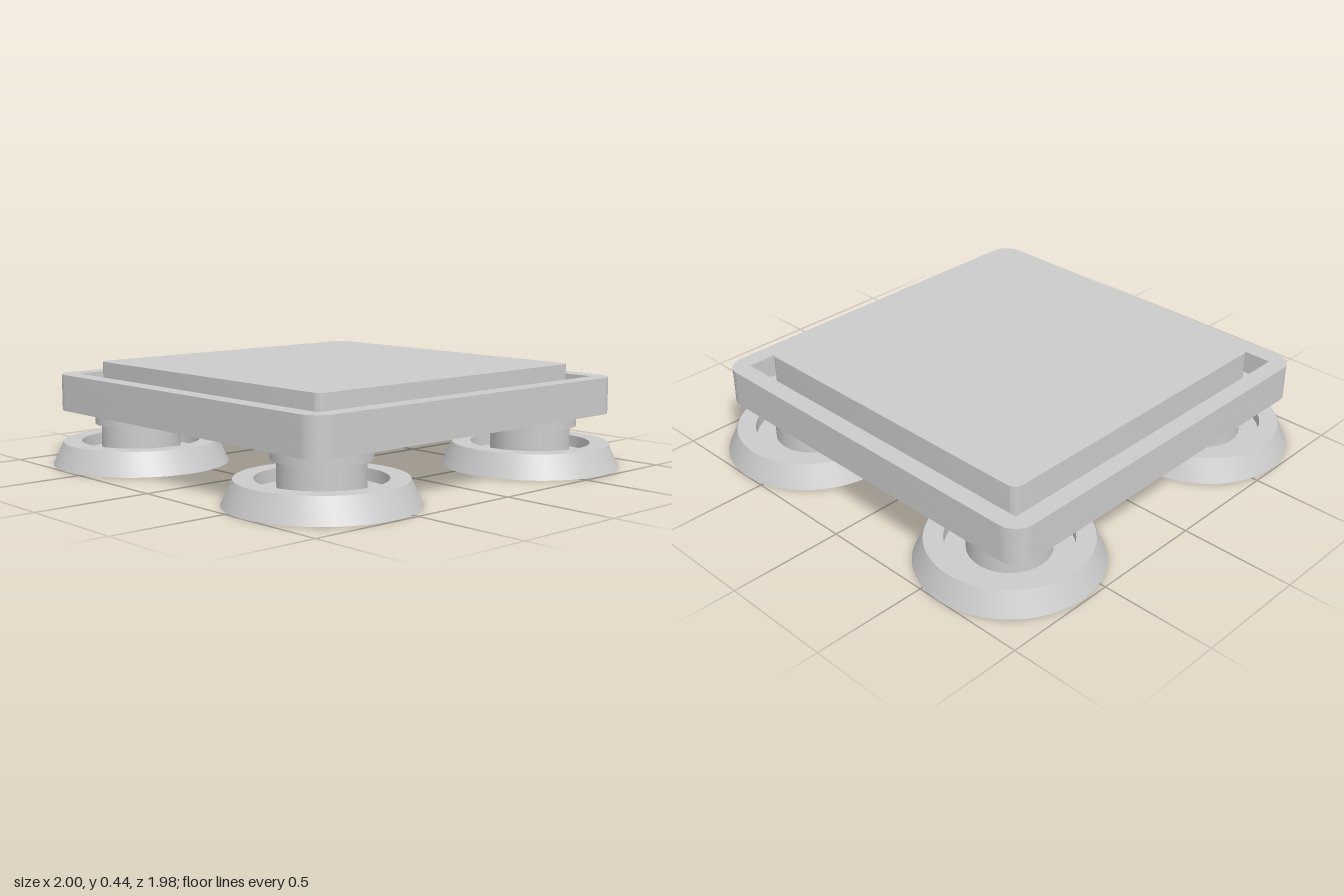
import * as THREE from 'three';
import { toCreasedNormals } from 'three/addons/utils/BufferGeometryUtils.js';

const material = new THREE.MeshStandardMaterial({ color: 0xcccccc });

function addMesh(parent, name, geometry) {
  const mesh = new THREE.Mesh(toCreasedNormals(geometry, 0.5), material);
  mesh.name = name;
  parent.add(mesh);
  return mesh;
}

// Square outline of half-width h with rounded corners of radius r
function roundedSquare(h, r) {
  const s = new THREE.Shape();
  const k = h - r;
  s.absarc(k, k, r, 0, Math.PI / 2);
  s.absarc(-k, k, r, Math.PI / 2, Math.PI);
  s.absarc(-k, -k, r, Math.PI, Math.PI * 1.5);
  s.absarc(k, -k, r, Math.PI * 1.5, Math.PI * 2);
  s.closePath();
  return s;
}

// Horizontal slab of a shape between two heights
function slab(shape, y0, y1) {
  const g = new THREE.ExtrudeGeometry(shape, { depth: y1 - y0, bevelEnabled: false, curveSegments: 8 });
  return g.rotateX(-Math.PI / 2).translate(0, y0, 0);
}

function lathe(points) {
  return new THREE.LatheGeometry(points.map(([r, y]) => new THREE.Vector2(r, y)), 64);
}

export function createModel() {
  const model = new THREE.Group();
  model.name = 'squarePlatform';

  // Tray: solid base, raised rim with a square opening, and inset panel
  const tray = new THREE.Group();
  tray.name = 'tray';
  tray.position.z = -0.012;
  model.add(tray);

  const floorY = 0.29;
  addMesh(tray, 'trayBase', slab(roundedSquare(0.877, 0.09), 0.23, floorY));

  const rim = roundedSquare(0.877, 0.09);
  const a = 0.798;
  rim.holes.push(new THREE.Path([[-a, -a], [-a, a], [a, a], [a, -a]].map(([x, y]) => new THREE.Vector2(x, y))));
  addMesh(tray, 'trayRim', slab(rim, floorY, 0.39));
  addMesh(tray, 'topPanel', slab(roundedSquare(0.732, 0.04), floorY, 0.445));

  // Feet: flared dish with a recessed top, post and collar
  const dish = lathe([[0, 0], [0.386, 0], [0.34, 0.102], [0.26, 0.102], [0.26, 0.05], [0, 0.05]]);
  const post = lathe([[0.173, 0.05], [0.173, 0.18]]);
  const collar = lathe([[0.173, 0.178], [0.2, 0.178], [0.2, 0.23]]);
  for (const sx of [-1, 1]) {
    for (const sz of [-1, 1]) {
      const foot = new THREE.Group();
      foot.name = (sz > 0 ? 'front' : 'back') + (sx > 0 ? 'Left' : 'Right') + 'Foot';
      foot.position.set(sx * 0.614, 0, sz * 0.602);
      addMesh(foot, 'footDish', dish);
      addMesh(foot, 'footPost', post);
      addMesh(foot, 'footCollar', collar);
      model.add(foot);
    }
  }
  return model;
}
